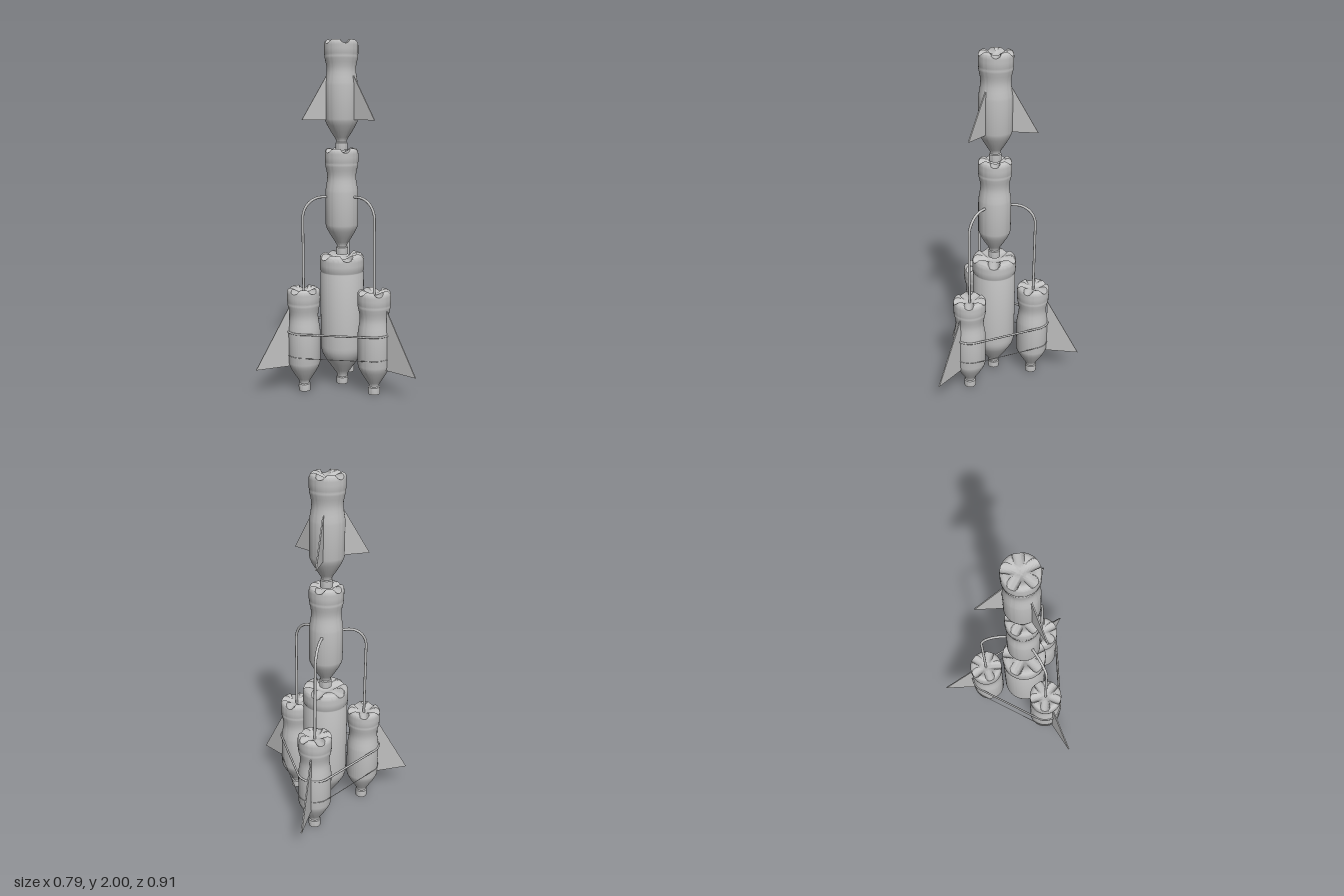
import * as THREE from 'three';
import { toCreasedNormals } from 'three/addons/utils/BufferGeometryUtils.js';

const AXIS_X = -0.13;   // main stack axis
const ARM = 0.235;      // distance from the stack to each booster

// Bottle: lathed wall plus a base (on top) cut by five round radial grooves
function bottleGeometry(wall, radius, top, scale) {
  const pts = wall.map(([r, y]) => new THREE.Vector2(r, y));
  for (let i = 1; i <= 6; i++) { // rounded rim
    const a = (i / 6) * Math.PI / 2, c = 0.022 * scale;
    pts.push(new THREE.Vector2(radius - c + c * Math.cos(a), top - c + c * Math.sin(a)));
  }
  const rim = radius - 0.022 * scale;
  for (let i = 1; i <= 14; i++) { // dished centre
    const t = 1 - i / 14;
    pts.push(new THREE.Vector2(rim * t, top - 0.028 * scale * (1 - t * t) ** 2));
  }
  const geo = new THREE.LatheGeometry(pts, 120);
  const pos = geo.attributes.position;
  const step = Math.PI * 2 / 5, width = 0.025 * scale, depth = 0.023 * scale;
  for (let i = 0; i < pos.count; i++) {
    const x = pos.getX(i), y = pos.getY(i), z = pos.getZ(i);
    if (y < top - 0.04 * scale) continue;
    const a = Math.atan2(z, x) - Math.PI;
    const d = a - Math.round(a / step) * step;
    const side = Math.abs(Math.hypot(x, z) * Math.sin(d)) / width;
    if (side < 1) pos.setY(i, Math.min(y, top - depth * Math.sqrt(1 - side * side)));
  }
  return toCreasedNormals(geo, 0.6);
}

const smallWall = [
  [0, 0.02], [0.024, 0.02], [0.026, 0], [0.034, 0], [0.035, 0.025], [0.034, 0.04], [0.029, 0.045], [0.03, 0.056],
  [0.04, 0.072], [0.06, 0.103], [0.08, 0.138], [0.09, 0.16], [0.0935, 0.175], [0.0935, 0.36],
  [0.092, 0.375], [0.087, 0.405], [0.083, 0.43], [0.082, 0.447], [0.083, 0.465], [0.087, 0.487],
  [0.092, 0.508], [0.094, 0.52], [0.0925, 0.526], [0.095, 0.533], [0.095, 0.56], [0.095, 0.58],
];
const largeWall = [
  [0, 0.03], [0.024, 0.03], [0.026, 0.012], [0.034, 0.012], [0.035, 0.035], [0.034, 0.05], [0.03, 0.055], [0.032, 0.07],
  [0.05, 0.097], [0.08, 0.14], [0.105, 0.18], [0.118, 0.205], [0.124, 0.23], [0.1255, 0.25], [0.1255, 0.68],
  [0.123, 0.687], [0.123, 0.692], [0.128, 0.7], [0.128, 0.73], [0.128, 0.755],
];

// Flat triangular fin in the xy plane
function finGeometry(inner, outer, bottom, top) {
  const shape = new THREE.Shape([
    new THREE.Vector2(inner, bottom), new THREE.Vector2(outer, bottom), new THREE.Vector2(inner, top)]);
  const geo = new THREE.ExtrudeGeometry(shape, { depth: 0.007, bevelEnabled: false });
  return geo.translate(0, 0, -0.0035);
}

// Closed loop drawn tight around the three boosters
function strapGeometry(y, thickness) {
  const pts = [];
  for (let k = 0; k < 3; k++) {
    const mid = k * Math.PI * 2 / 3;
    for (let i = 0; i <= 16; i++) {
      const a = mid + (i / 16 - 0.5) * Math.PI * 2 / 3;
      pts.push(new THREE.Vector3(
        ARM * Math.cos(mid) + 0.0955 * Math.cos(a), y, ARM * Math.sin(mid) + 0.0955 * Math.sin(a)));
    }
  }
  const path = new THREE.CurvePath();
  pts.forEach((p, i) => path.add(new THREE.LineCurve3(p, pts[(i + 1) % pts.length])));
  return new THREE.TubeGeometry(path, 240, thickness, 8, true);
}

// Feed pipe: up from the booster, then bent in to the middle bottle
function pipeGeometry() {
  const v = (x, y) => new THREE.Vector3(x, y, 0);
  const path = new THREE.CurvePath();
  const bend = 0.115, k = bend * 0.448, top = 1.127;
  path.add(new THREE.LineCurve3(v(ARM, 0.575), v(ARM, top - bend)));
  path.add(new THREE.CubicBezierCurve3(
    v(ARM, top - bend), v(ARM, top - k), v(ARM - k, top), v(ARM - bend, top)));
  path.add(new THREE.LineCurve3(v(ARM - bend, top), v(0.06, top)));
  return new THREE.TubeGeometry(path, 90, 0.0075, 12, false);
}

export function createModel() {
  const model = new THREE.Group();
  model.name = 'bottleRocket';
  const grey = new THREE.MeshStandardMaterial({ color: 0xc0c0c0 });
  grey.name = 'grey';
  grey.side = THREE.DoubleSide;

  const stack = new THREE.Group();
  stack.name = 'stack';
  stack.position.x = AXIS_X;
  model.add(stack);

  const add = (parent, name, geo, x = 0, y = 0) => {
    const mesh = new THREE.Mesh(geo, grey);
    mesh.name = name;
    mesh.position.set(x, y, 0);
    parent.add(mesh);
  };

  // Central column
  const small = bottleGeometry(smallWall, 0.095, 0.61, 1);
  add(stack, 'coreBottle', bottleGeometry(largeWall, 0.128, 0.793, 1.3));
  add(stack, 'middleBottle', small, 0, 0.79);
  add(stack, 'topBottle', small, 0, 1.39);

  // Three arms, each with booster, fins and pipe
  const boosterFin = finGeometry(0.088, 0.287, 0.155, 0.505);
  const topFin = finGeometry(0.088, 0.235, 1.56, 1.805);
  const pipe = pipeGeometry();
  for (let k = 0; k < 3; k++) {
    const arm = new THREE.Group();
    arm.name = 'boosterArm' + (k + 1);
    arm.rotation.y = k * Math.PI * 2 / 3;
    add(arm, 'booster', small, ARM);
    add(arm, 'boosterFin', boosterFin, ARM);
    add(arm, 'topFin', topFin);
    add(arm, 'feedPipe', pipe);
    stack.add(arm);
  }

  // Straps
  add(stack, 'upperStrap', strapGeometry(0.36, 0.006));
  add(stack, 'lowerStrap', strapGeometry(0.22, 0.002));
  return model;
}
